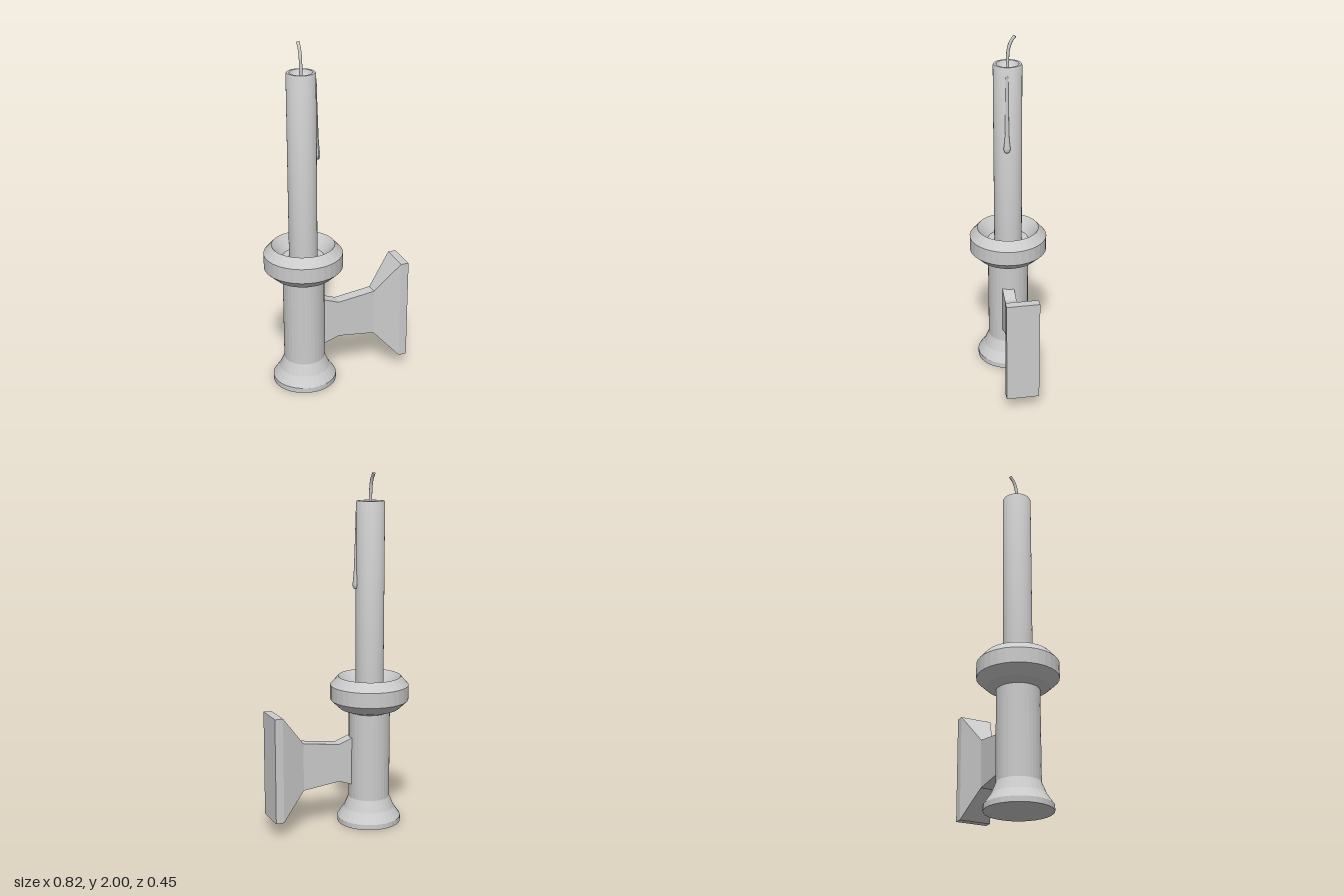
import * as THREE from 'three';
import { toCreasedNormals } from 'three/addons/utils/BufferGeometryUtils.js';

const AXIS_X = -0.19;

function material(flatShading = false) {
  return new THREE.MeshStandardMaterial({ color: 0xcccccc, flatShading });
}

function part(name, geometry, flat = false) {
  const mesh = new THREE.Mesh(geometry, material(flat));
  mesh.name = name;
  return mesh;
}

// Lathe from [radius, height] pairs, listed bottom to top along the outside
function turned(points, segments) {
  return new THREE.LatheGeometry(points.map(([r, y]) => new THREE.Vector2(r, y)), segments);
}

// Joins rectangular sections [x, bottom, top, halfDepth] into a closed solid
function loftBoxes(sections, z) {
  const positions = [];
  const rings = sections.map(([x, b, t, d]) => [
    [x, b, z + d], [x, t, z + d], [x, t, z - d], [x, b, z - d],
  ]);
  const quad = (a, b, c, d) => positions.push(...a, ...b, ...c, ...a, ...c, ...d);
  for (let i = 0; i < rings.length - 1; i++) {
    const p = rings[i], q = rings[i + 1];
    for (let k = 0; k < 4; k++) {
      const n = (k + 1) % 4;
      quad(p[k], q[k], q[n], p[n]);
    }
  }
  const s = rings[0], e = rings[rings.length - 1];
  quad(s[0], s[1], s[2], s[3]);
  quad(e[3], e[2], e[1], e[0]);
  const geometry = new THREE.BufferGeometry();
  geometry.setAttribute('position', new THREE.Float32BufferAttribute(positions, 3));
  geometry.computeVertexNormals();
  return geometry;
}

export function createModel() {
  const model = new THREE.Group();
  model.name = 'wallCandlestick';

  const stand = new THREE.Group();
  stand.name = 'candlestick';
  stand.position.x = AXIS_X;
  model.add(stand);

  // Flared foot, column and drip cup
  stand.add(part('holder', turned([
    [0, 0], [0.183, 0], [0.183, 0.03], [0.145, 0.085], [0.118, 0.15],
    [0.118, 0.655], [0.17, 0.675], [0.223, 0.725], [0.223, 0.81],
    [0.178, 0.86], [0.117, 0.785], [0, 0.785],
  ], 32), true));

  // Candle with a hollowed top
  stand.add(part('candle', toCreasedNormals(turned([
    [0, 0.78], [0.08, 0.78], [0.08, 1.838], [0.076, 1.845], [0.063, 1.845],
    [0.055, 1.825], [0.035, 1.808], [0, 1.803],
  ], 32), 0.6)));

  // Wick, bending backwards
  const wickPath = new THREE.CatmullRomCurve3([
    [0, 1.79, 0], [0, 1.87, 0], [0, 1.925, -0.005], [0, 1.968, -0.019], [0, 1.996, -0.04],
  ].map(p => new THREE.Vector3(...p)));
  const wick = part('wick', new THREE.TubeGeometry(wickPath, 14, 0.009, 10));
  const tip = part('wickTip', new THREE.CircleGeometry(0.009, 10));
  tip.position.copy(wickPath.getPoint(1));
  tip.lookAt(tip.position.clone().add(wickPath.getTangent(1)));
  stand.add(wick, tip);

  // Wax drip running down the side
  const drip = part('waxDrip', turned([
    [0, 1.357], [0.011, 1.361], [0.018, 1.373], [0.019, 1.388], [0.016, 1.41],
    [0.012, 1.46], [0.01, 1.55], [0.008, 1.68], [0.008, 1.78], [0.005, 1.81], [0, 1.82],
  ], 14));
  const p = drip.geometry.attributes.position;
  for (let i = 0; i < p.count; i++) {
    const t = (p.getY(i) - 1.357) / 0.463;
    p.setX(i, p.getX(i) * 0.75 + 0.083 - 0.008 * t);
    p.setZ(i, p.getZ(i) + 0.018 - 0.002 * t);
  }
  drip.geometry.computeVertexNormals();
  stand.add(drip);

  // Side arm widening into the wall plate
  model.add(part('wallBracket', loftBoxes([
    [-0.085, 0.228, 0.512, 0.034],
    [0.005, 0.26, 0.48, 0.034],
    [0.222, 0.235, 0.51, 0.034],
    [0.364, 0.085, 0.685, 0.092],
    [0.411, 0.085, 0.685, 0.092],
  ], 0.018), true));

  return model;
}
